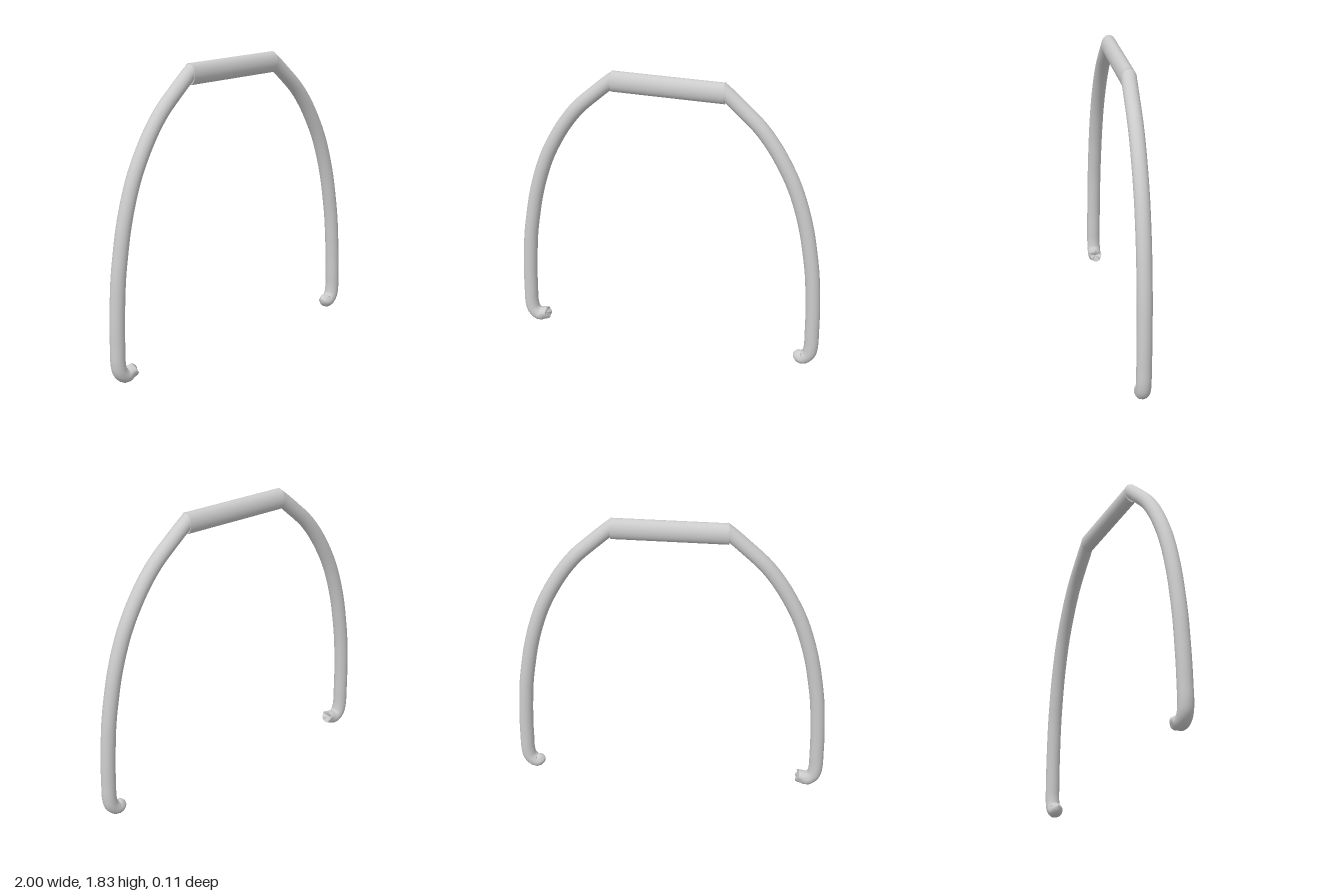
import * as THREE from 'three';

const GRIP_HALF = 0.35, GRIP_Y = 1.775, TOP_Z = -0.008, FOOT_Z = 0.01;
const RINGS = 170, SIDES = 28, RADIUS = 0.045;
const material = new THREE.MeshStandardMaterial({ color: 0xcccccc, side: THREE.DoubleSide });

// Centre line of the +x arm, from inside the grip down to the hook
const PATH = [
  [0.30, 1.819], [0.36, 1.773], [0.45, 1.695], [0.57, 1.583], [0.655, 1.475], [0.73, 1.352],
  [0.79, 1.23], [0.837, 1.10], [0.878, 0.95], [0.905, 0.81], [0.928, 0.66], [0.94, 0.52],
  [0.949, 0.36], [0.951, 0.25], [0.951, 0.14], [0.938, 0.085], [0.90, 0.052],
];

// Bent rod with a mitred top end and a frayed or blunt hook tip
function makeArm(side, tip, frayed) {
  const curve = new THREE.CatmullRomCurve3([...PATH, ...tip].map(([x, y]) =>
    new THREE.Vector3(side * x, y, THREE.MathUtils.lerp(FOOT_Z, TOP_Z, Math.min(1, y / 1.8)))));
  const geo = new THREE.TubeGeometry(curve, RINGS, RADIUS, SIDES, false);
  const pos = geo.attributes.position;
  const v = new THREE.Vector3(), c = new THREE.Vector3();
  for (let k = 0; k < pos.count; k++) {
    const ring = Math.floor(k / (SIDES + 1));
    const a = (k % (SIDES + 1)) / SIDES * Math.PI * 2;
    v.fromBufferAttribute(pos, k);
    // slide the upper end along the rod onto the vertical grip face
    if (ring < 20 && side * v.x < GRIP_HALF) {
      v.y -= (GRIP_HALF - side * v.x) * 0.78;
      v.x = side * GRIP_HALF;
    }
    // close the hook tip
    const left = RINGS - ring;
    if (left < 6) {
      curve.getPointAt(ring / RINGS, c);
      const wave = Math.sin(3 * a + 0.6) * 0.6 + Math.sin(5 * a) * 0.4;
      const t = 1 - left / 6;
      if (frayed) {
        const s = left === 0 ? 0 : 1 - 0.16 * t + 0.16 * t * wave;
        if (left === 0) curve.getPointAt((RINGS - 3) / RINGS, c);
        v.sub(c).multiplyScalar(left === 0 ? 0 : s).add(c);
        if (left === 1) v.x += side * 0.008 * wave;
      } else {
        const s = Math.sqrt(Math.max(0, 1 - (ring - RINGS + 6) ** 2 / 36));
        v.sub(c).multiplyScalar(s * (1 + 0.1 * t * wave)).add(c);
      }
    }
    pos.setXYZ(k, v.x, v.y, v.z);
  }
  geo.computeVertexNormals();
  // join the shading across the lengthwise seam
  const n = geo.attributes.normal;
  for (let i = 0; i <= RINGS; i++) {
    const p = i * (SIDES + 1), q = p + SIDES;
    v.fromBufferAttribute(n, p).add(c.fromBufferAttribute(n, q)).normalize();
    n.setXYZ(p, v.x, v.y, v.z);
    n.setXYZ(q, v.x, v.y, v.z);
  }
  return new THREE.Mesh(geo, material);
}

export function createModel() {
  const group = new THREE.Group();
  group.name = 'bailHandle';

  // Oval straight grip
  const gripGeo = new THREE.CylinderGeometry(1, 1, 2 * GRIP_HALF, 40);
  gripGeo.rotateZ(Math.PI / 2);
  gripGeo.scale(1, 0.065, 0.047);
  const grip = new THREE.Mesh(gripGeo, material);
  grip.name = 'grip';
  grip.position.set(0, GRIP_Y, TOP_Z);
  group.add(grip);

  // Curved arms with inward hooks
  const leftArm = makeArm(1, [[0.87, 0.063], [0.84, 0.076]], false);
  leftArm.name = 'leftArm';
  const rightArm = makeArm(-1, [[0.865, 0.062], [0.82, 0.07]], true);
  rightArm.name = 'rightArm';
  group.add(leftArm, rightArm);

  return group;
}
